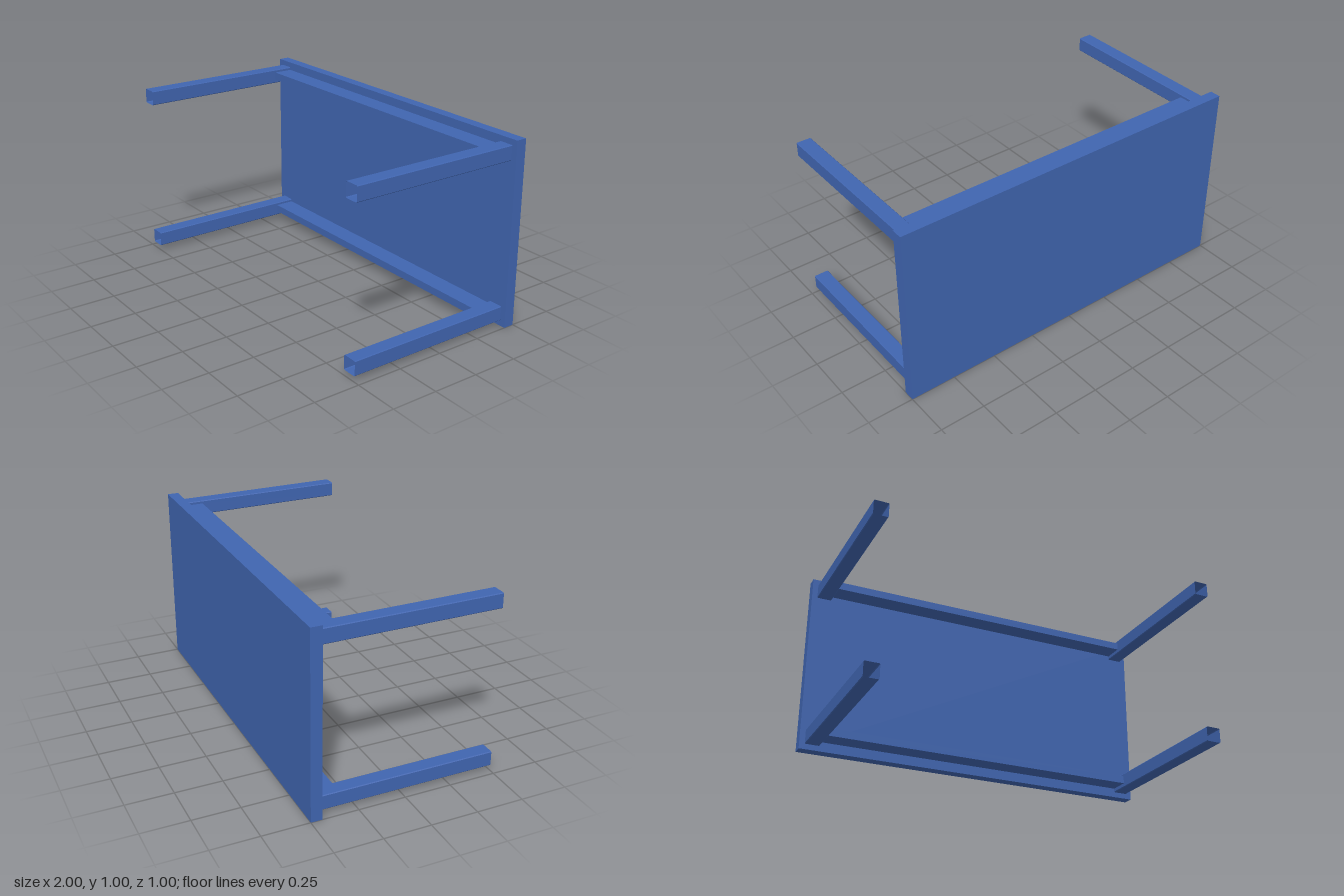
import * as THREE from 'three';

const material = new THREE.MeshStandardMaterial({ color: 0x4065b0, flatShading: true, side: THREE.DoubleSide });

function addMesh(group, name, geometry, x, y, z) {
  const mesh = new THREE.Mesh(geometry, material);
  mesh.name = name;
  mesh.position.set(x, y, z);
  group.add(mesh);
}

// Hollow square tube along z, open at both ends, with slightly chamfered edges
function squareTube(width, length, chamfer) {
  const geometry = new THREE.CylinderGeometry(1, 1, length, 8, 1, true, Math.PI / 8);
  const p = geometry.attributes.position;
  const snap = (v) => Math.sign(v) * (width / 2 - (Math.abs(v) > 0.5 ? 0 : chamfer));
  for (let i = 0; i < p.count; i++) p.setXYZ(i, snap(p.getX(i)), p.getY(i), snap(p.getZ(i)));
  geometry.rotateX(Math.PI / 2);
  geometry.computeVertexNormals();
  return geometry;
}

export function createModel() {
  const table = new THREE.Group();
  table.name = 'table';

  // Table top, standing on its long edge
  addMesh(table, 'tableTop', new THREE.BoxGeometry(2, 1, 0.06), 0, 0.5, -0.47);

  const leg = squareTube(0.08, 0.94, 0.004);
  const rail = new THREE.BoxGeometry(1.78, 0.042, 0.11);
  for (const [edge, y] of [['lower', 0.07], ['upper', 0.93]]) {
    // Rail under the top, between the two legs of each long edge
    addMesh(table, edge + 'Rail', rail, 0, y + 0.003, -0.385);
    // Legs pointing forward
    addMesh(table, edge + 'LeftLeg', leg, 0.93, y, 0.03);
    addMesh(table, edge + 'RightLeg', leg, -0.93, y, 0.03);
  }
  return table;
}
